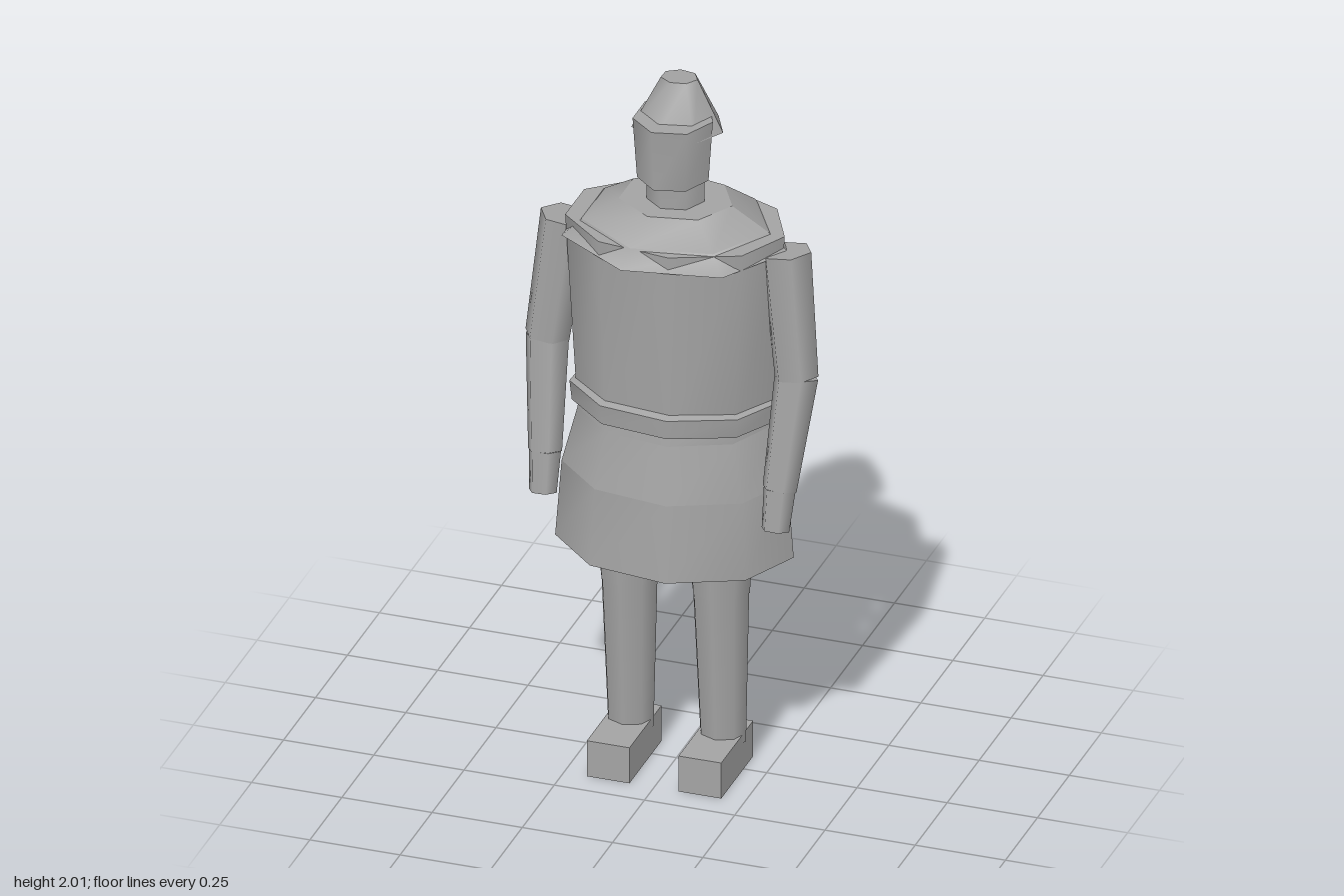
import * as THREE from 'three';
import { mergeGeometries } from 'three/addons/utils/BufferGeometryUtils.js';

const grey = new THREE.MeshStandardMaterial({ color: 0xa3a3a3 });
grey.name = 'plain grey';

export function createModel() {
  const model = new THREE.Group();
  model.name = 'figure';

  const add = (name, geometry) => {
    const mesh = new THREE.Mesh(geometry, grey);
    mesh.name = name;
    model.add(mesh);
    return mesh;
  };

  // Stacked elliptical rings, listed from the top down as [y, rx, rz, z offset]
  const rings = (name, sides, list) => {
    const parts = [];
    for (let i = 0; i < list.length - 1; i++) {
      const [y1, rx1, rz1, z1 = 0] = list[i];
      const [y0, rx0, rz0, z0 = 0] = list[i + 1];
      const g = new THREE.CylinderGeometry(rx1, rx0, y1 - y0, sides, 1, list.length > 2, Math.PI / 2);
      const p = g.attributes.position;
      for (let v = 0; v < p.count; v++) {
        const top = p.getY(v) > 0;
        p.setZ(v, p.getZ(v) * (top ? rz1 / rx1 : rz0 / rx0) + (top ? z1 : z0));
      }
      g.translate(0, (y1 + y0) / 2, 0);
      g.computeVertexNormals();
      parts.push(g);
    }
    // Close a longer stack with a cap at each end
    if (list.length > 2) {
      for (const [end, turn] of [[list[0], -1], [list[list.length - 1], 1]]) {
        const [y, rx, rz, z = 0] = end;
        const cap = new THREE.CircleGeometry(1, sides);
        cap.rotateX(turn * Math.PI / 2).scale(rx, 1, rz).translate(0, y, z);
        parts.push(cap);
      }
    }
    return add(name, mergeGeometries(parts));
  };

  // Tapered limb section between two points
  const limb = (name, from, to, r0, r1, sides, turn = Math.PI / 2) => {
    const a = new THREE.Vector3(...from), b = new THREE.Vector3(...to);
    const dir = a.clone().sub(b);
    const mesh = add(name, new THREE.CylinderGeometry(r0, r1, dir.length(), sides, 1, false, turn));
    mesh.position.copy(a).add(b).multiplyScalar(0.5);
    mesh.quaternion.setFromUnitVectors(new THREE.Vector3(0, 1, 0), dir.normalize());
    return mesh;
  };

  // Clothing
  rings('torso', 9, [[1.595, 0.3, 0.217], [1.06, 0.268, 0.2]]);
  rings('skirt', 9, [[1.08, 0.258, 0.2], [1.03, 0.265, 0.207], [0.87, 0.308, 0.237], [0.65, 0.325, 0.253]]);
  rings('collar', 7, [[1.66, 0.155, 0.133], [1.6, 0.255, 0.21], [1.55, 0.311, 0.247]]);
  const belt = rings('belt', 9, [[0.035, 0.262, 0.2], [0.025, 0.287, 0.225], [-0.03, 0.28, 0.217], [-0.032, 0.255, 0.195]]);
  belt.position.y = 1.078;
  belt.rotation.x = -0.05;

  // Neck, head and hat
  rings('neck', 7, [[1.75, 0.078, 0.078], [1.58, 0.078, 0.078]]);
  rings('head', 7, [[1.91, 0.108, 0.112, 0.02], [1.735, 0.096, 0.102, 0.02]]);
  const hat = rings('hat', 7, [[0.07, 0.05, 0.045], [-0.07, 0.124, 0.123]]);
  hat.position.set(0, 1.933, -0.02);
  hat.rotation.x = -0.06;

  for (const [side, s] of [['left', 1], ['right', -1]]) {
    // Arms, slightly bent with the hands forward
    const elbow = [s * 0.345, 1.21, 0.035], wrist = [s * 0.325, 0.91, 0.11];
    limb(side + 'UpperArm', [s * 0.305, 1.555, 0.003], elbow, 0.07, 0.061, 6);
    limb(side + 'Forearm', elbow, wrist, 0.06, 0.047, 6);
    limb(side + 'Hand', wrist, [s * 0.322, 0.8, 0.135], 0.044, 0.038, 6);

    // Legs and boots
    limb(side + 'Thigh', [s * 0.127, 0.8, 0.01], [s * 0.127, 0.53, 0.01], 0.096, 0.08, 8);
    limb(side + 'Shin', [s * 0.127, 0.535, 0.01], [s * 0.128, 0.08, -0.005], 0.078, 0.063, 8);
    const boot = add(side + 'Boot', new THREE.BoxGeometry(0.118, 0.105, 0.25));
    boot.position.set(s * 0.127, 0.0525, 0.05);
  }

  return model;
}
